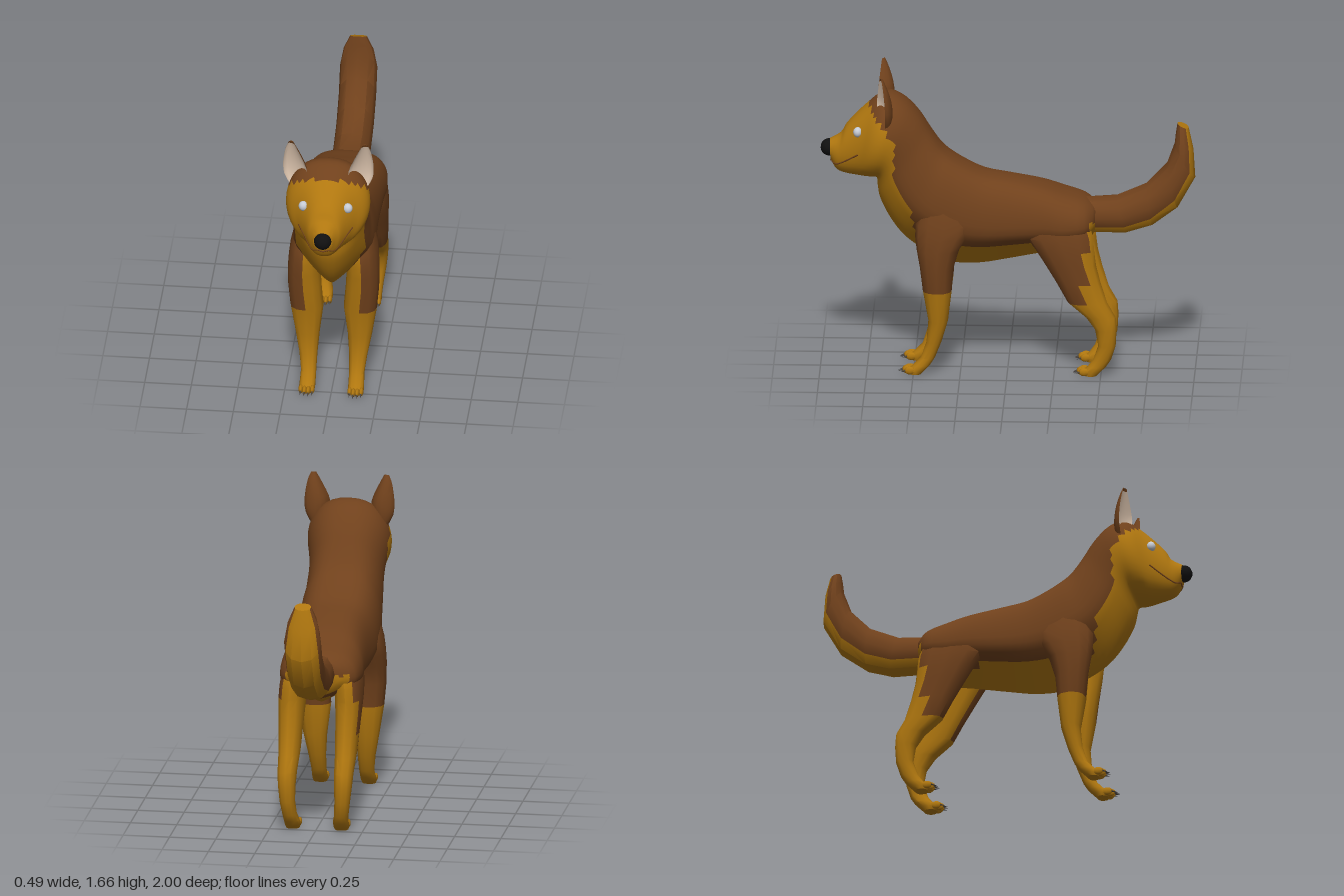
import * as THREE from 'three';
import { toCreasedNormals } from 'three/addons/utils/BufferGeometryUtils.js';

const COLORS = { brown: 0x70411c, tan: 0xb0770f, cream: 0xdcc4ae, eye: 0xc6cbd4, black: 0x111111, claw: 0x4a4644 };
const MATS = {};
for (const k in COLORS) MATS[k] = new THREE.MeshStandardMaterial({ color: COLORS[k] });

// Catmull-Rom value of a table of rows at position s (0 .. rows - 1)
function rowAt(rows, s) {
  const i = Math.min(Math.floor(s), rows.length - 2), f = s - i;
  const r = (k) => rows[Math.max(0, Math.min(rows.length - 1, k))];
  return rows[0].map((_, c) => {
    const [a, b, d, e] = [r(i - 1)[c], r(i)[c], r(i + 1)[c], r(i + 2)[c]];
    return b + 0.5 * f * (d - a + f * (2 * a - 5 * b + 4 * d - e + f * (3 * (b - d) + e - a)));
  });
}
function refine(rows, n) {
  const out = [];
  for (let k = 0; k <= (rows.length - 1) * n; k++) out.push(rowAt(rows, k / n));
  return out;
}

// Closed skin over a list of loops; colorOf(centre, along, around) picks the colour of each patch
function loft(name, loops, colorOf, crease = 0.6) {
  const n = loops[0].length, m = loops.length, sets = {};
  const add = (u, w, ...tris) => {
    const pts = tris.flat();
    const c = pts.reduce((a, p) => a.add(p), new THREE.Vector3()).divideScalar(pts.length);
    (sets[colorOf(c, u, w)] ??= []).push(...tris);
  };
  for (let i = 0; i < m - 1; i++) for (let j = 0; j < n; j++) {
    const k = (j + 1) % n, [a, b, c, d] = [loops[i][j], loops[i][k], loops[i + 1][k], loops[i + 1][j]];
    add((i + 0.5) / (m - 1), (j + 0.5) / n, [a, b, c], [a, c, d]);
  }
  for (const [e, u] of [[0, 0], [m - 1, 1]]) {
    const L = loops[e], mid = L.reduce((a, p) => a.add(p), new THREE.Vector3()).divideScalar(n);
    for (let j = 0; j < n; j++) {
      const a = L[j], b = L[(j + 1) % n];
      add(u, (j + 0.5) / n, u ? [a, b, mid] : [b, a, mid]);
    }
  }
  // turn all corners outward
  const all = Object.values(sets).flat();
  const volume = all.reduce((v, [a, b, c]) => v + a.dot(new THREE.Vector3().crossVectors(b, c)), 0);
  const flat = all.flatMap(([a, b, c]) => (volume > 0 ? [a, b, c] : [a, c, b]));
  const geo = toCreasedNormals(new THREE.BufferGeometry().setFromPoints(flat), crease);
  const group = new THREE.Group();
  group.name = name;
  let start = 0;
  for (const key in sets) {
    const end = start + sets[key].length * 9, part = new THREE.BufferGeometry();
    for (const at of ['position', 'normal'])
      part.setAttribute(at, new THREE.BufferAttribute(geo.attributes[at].array.slice(start, end), 3));
    const mesh = new THREE.Mesh(part, MATS[key]);
    mesh.name = name + key[0].toUpperCase() + key.slice(1);
    group.add(mesh);
    start = end;
  }
  return group;
}

function ball(name, mat, x, y, z, rx, ry, rz, seg = 12) {
  const mesh = new THREE.Mesh(new THREE.SphereGeometry(1, seg, Math.ceil(seg * 0.7)), MATS[mat]);
  mesh.name = name;
  mesh.position.set(x, y, z);
  mesh.scale.set(rx, ry, rz);
  return mesh;
}

// Point on an upright section [zTop, yTop, zBottom, yBottom, halfWidth, boxiness]; t runs top to bottom
function sectionPoint([zt, yt, zb, yb, w, box], t, side) {
  const v = (1 - Math.cos(Math.PI * t)) / 2, s = Math.max(0, Math.sin(Math.PI * t));
  const round = s ** 0.85, keel = Math.min(s ** 0.6, (1 - v) * 2.7);
  const x = w * (round + (keel - round) * box);
  return new THREE.Vector3(side * x, yt + (yb - yt) * v, zt + (zb - zt) * v);
}
function sectionLoop(row, half) {
  const pts = [];
  for (let j = 0; j < 2 * half; j++)
    pts.push(j <= half ? sectionPoint(row, j / half, 1) : sectionPoint(row, 2 - j / half, -1));
  return pts;
}

// Rump, back, neck, skull and muzzle
const TRUNK = [
  [-0.47, 0.92, -0.465, 0.77, 0.12, 0.4],
  [-0.41, 0.962, -0.42, 0.71, 0.20, 0.6],
  [-0.29, 1.00, -0.30, 0.66, 0.22, 0.9],
  [-0.18, 1.035, -0.20, 0.645, 0.214, 1],
  [-0.02, 1.068, 0.01, 0.605, 0.207, 1],
  [0.12, 1.095, 0.15, 0.582, 0.21, 1],
  [0.22, 1.14, 0.29, 0.585, 0.217, 1],
  [0.30, 1.19, 0.43, 0.645, 0.217, 0.9],
  [0.35, 1.235, 0.54, 0.72, 0.208, 0.7],
  [0.39, 1.29, 0.62, 0.82, 0.203, 0.5],
  [0.425, 1.345, 0.68, 0.94, 0.20, 0.3],
  [0.47, 1.415, 0.695, 1.02, 0.207, 0.15],
  [0.54, 1.49, 0.70, 1.065, 0.22, 0],
  [0.62, 1.53, 0.73, 1.068, 0.225, 0],
  [0.68, 1.515, 0.77, 1.07, 0.203, 0],
  [0.74, 1.47, 0.81, 1.073, 0.157, 0],
  [0.80, 1.415, 0.86, 1.08, 0.119, 0],
  [0.86, 1.35, 0.90, 1.092, 0.092, 0],
  [0.89, 1.30, 0.925, 1.115, 0.077, 0],
  [0.95, 1.265, 0.945, 1.155, 0.052, 0],
];
const trunkColor = (c) => {
  const mask = c.y > 1.06 && c.z > 0.6 + Math.max(0, c.y - 1.3) * 0.8;
  const chest = c.y <= 1.06 && c.z > 0.52 + (c.y - 0.91) * 0.35 && Math.abs(c.x) < 0.19;
  const belly = c.y < 0.72 && Math.abs(c.x) < 0.185;
  const rump = c.z < -0.44 && c.y < 0.85;
  return mask || chest || belly || rump ? 'tan' : 'brown';
};

const TAIL = [
  [-0.33, 0.965, -0.40, 0.78, 0.08, 0],
  [-0.45, 0.955, -0.46, 0.76, 0.097, 0],
  [-0.58, 0.965, -0.635, 0.76, 0.10, 0],
  [-0.74, 1.035, -0.77, 0.80, 0.10, 0],
  [-0.85, 1.15, -0.905, 0.90, 0.10, 0],
  [-0.89, 1.26, -1.0, 1.07, 0.10, 0],
  [-0.897, 1.32, -0.99, 1.23, 0.08, 0],
  [-0.905, 1.37, -0.965, 1.345, 0.045, 0],
];

// Leg rows: [y, zFront, zBack, xInner, xOuter]
const FRONT_LEG = [
  [1.06, 0.38, 0.30, 0.08, 0.17], [0.94, 0.45, 0.23, 0.07, 0.212], [0.84, 0.488, 0.18, 0.07, 0.234],
  [0.77, 0.49, 0.21, 0.07, 0.242], [0.70, 0.482, 0.255, 0.07, 0.246], [0.60, 0.465, 0.285, 0.065, 0.244],
  [0.47, 0.45, 0.295, 0.054, 0.232], [0.30, 0.42, 0.315, 0.075, 0.205], [0.18, 0.43, 0.35, 0.085, 0.182],
  [0.09, 0.46, 0.385, 0.088, 0.17], [0.05, 0.50, 0.41, 0.088, 0.172], [0.02, 0.53, 0.44, 0.088, 0.174],
  [0, 0.52, 0.46, 0.095, 0.168],
];
const HIND_LEG = [
  [0.94, -0.22, -0.36, 0.06, 0.18], [0.84, -0.09, -0.44, 0.07, 0.212], [0.77, -0.105, -0.46, 0.075, 0.222],
  [0.70, -0.155, -0.465, 0.08, 0.226], [0.62, -0.205, -0.475, 0.085, 0.222], [0.52, -0.265, -0.50, 0.09, 0.216],
  [0.41, -0.325, -0.535, 0.095, 0.21], [0.33, -0.42, -0.58, 0.10, 0.205], [0.26, -0.47, -0.585, 0.104, 0.2],
  [0.17, -0.487, -0.58, 0.106, 0.19], [0.09, -0.46, -0.555, 0.1, 0.178], [0.05, -0.43, -0.53, 0.09, 0.174],
  [0.02, -0.40, -0.50, 0.088, 0.174], [0, -0.41, -0.48, 0.095, 0.168],
];
function leg(name, rows, side, colorOf) {
  const loops = rows.map(([y, zf, zb, xi, xo]) => Array.from({ length: 12 }, (_, j) => {
    const a = (j / 12) * Math.PI * 2, c = Math.cos(a), s = Math.sin(a);
    const sq = (q) => Math.sign(q) * Math.abs(q) ** 0.85;
    return new THREE.Vector3(side * ((xi + xo) / 2 + sq(c) * (xo - xi) / 2), y, (zf + zb) / 2 + sq(s) * (zf - zb) / 2);
  }));
  const group = loft(name, loops, colorOf, 0.8);
  // toes and claws
  const front = rows[rows.length - 2][1];
  for (let k = 0; k < 4; k++) {
    const x = side * (0.1 + k * 0.0207), z = front - 0.012 + (k === 1 || k === 2 ? 0.012 : 0);
    group.add(ball('toe', 'tan', x, 0.024, z, 0.0125, 0.022, 0.03, 8));
    const claw = new THREE.Mesh(new THREE.ConeGeometry(0.007, 0.035, 6), MATS.claw);
    claw.name = 'claw';
    claw.position.set(x, 0.02, z + 0.035);
    claw.rotation.x = Math.PI / 2 + 0.3;
    group.add(claw);
  }
  return group;
}

// Ear rows: [y, xInner, xOuter, zRim, zBack]; the front is hollowed and turned a little outward
const EAR = [
  [1.38, 0.15, 0.205, 0.67, 0.62], [1.44, 0.12, 0.236, 0.688, 0.61], [1.50, 0.112, 0.243, 0.695, 0.612],
  [1.56, 0.135, 0.238, 0.69, 0.624], [1.62, 0.165, 0.226, 0.683, 0.645], [1.657, 0.185, 0.21, 0.678, 0.662],
];
function ear(side) {
  const loops = refine(EAR, 2).map(([y, xi, xo, zr, zb]) => Array.from({ length: 16 }, (_, j) => {
    const a = (j / 16) * Math.PI * 2, s = Math.sin(a);
    const x = (xi + xo) / 2 + Math.cos(a) * (xo - xi) / 2;
    const depth = (zr - zb) * (s > 0 ? 0.45 * s : -s);
    return new THREE.Vector3(side * x, y, zr - depth - (s > 0 ? 0.35 : 0.35 * (1 + s)) * (x - xi));
  }));
  return loft('ear', loops, (c, u, w) => (w < 0.5 && u < 0.95 ? 'cream' : 'brown'), 0.9);
}

export function createModel() {
  const dog = new THREE.Group();
  dog.name = 'dog';
  dog.add(loft('body', refine(TRUNK, 3).map((r) => sectionLoop(r, 18)), trunkColor, 0.9));
  dog.add(loft('tail', TAIL.map((r) => sectionLoop(r, 6)),
    (c, u, w) => (u === 1 || Math.abs(w - 0.5) < 0.17 ? 'tan' : 'brown')));
  for (const side of [1, -1]) {
    dog.add(leg('frontLeg', FRONT_LEG, side, (c) =>
      (c.y < 0.47 || (Math.abs(c.x) < 0.165 && c.z > 0.36 && c.y < 0.85) ? 'tan' : 'brown')));
    dog.add(leg('hindLeg', HIND_LEG, side, (c) =>
      (c.y < 0.41 || (c.y < 0.84 && (c.z < -0.42 || Math.abs(c.x) < 0.13)) ? 'tan' : 'brown')));
    dog.add(ear(side));
    dog.add(ball('eye', 'eye', side * 0.119, 1.337, 0.798, 0.026, 0.028, 0.024, 16));
  }
  dog.add(ball('nose', 'black', 0, 1.218, 0.955, 0.047, 0.046, 0.045, 14));

  // mouth line following the muzzle
  const lips = [[15.2, 0.58], [16, 0.62], [17, 0.675], [18, 0.75], [18.8, 0.86]];
  const half = (side) => lips.map(([s, t]) => sectionPoint(rowAt(TRUNK, s), t, side));
  const curve = new THREE.CatmullRomCurve3([...half(1), new THREE.Vector3(0, 1.147, 0.944), ...half(-1).reverse()]);
  const mouth = new THREE.Mesh(new THREE.TubeGeometry(curve, 40, 0.004, 6), MATS.brown);
  mouth.name = 'mouth';
  dog.add(mouth);
  return dog;
}
